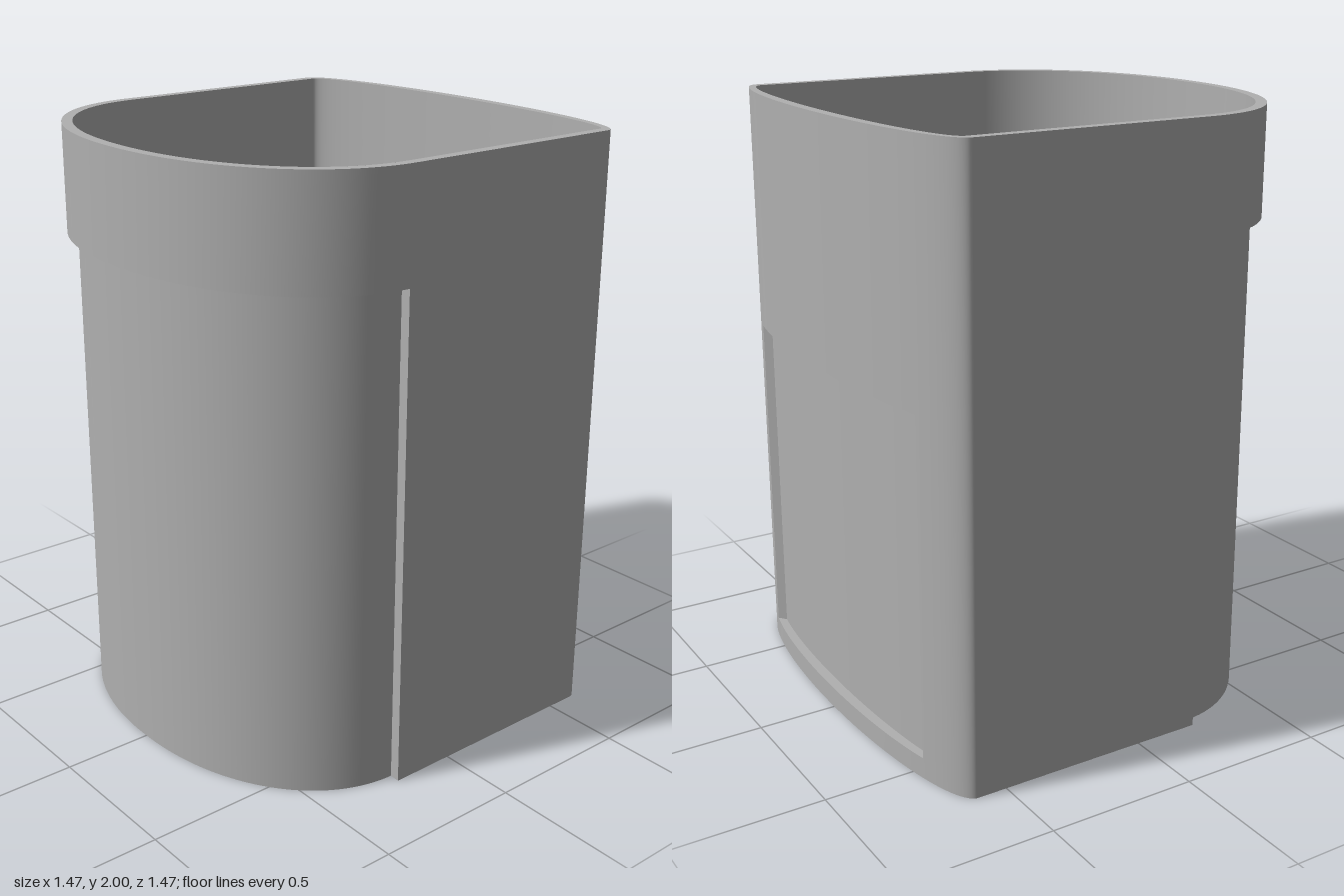
import * as THREE from 'three';
import { mergeGeometries } from 'three/addons/utils/BufferGeometryUtils.js';

// Plan outline, u = 0..4: front arc, right side, back arc, left side.
// t = 0 is the inner face of the wall, t = 1 the outer face.
const SIDE_FRONT = 0.2, SIDE_BACK = -0.6, WALL = 0.035;

function outline(u, t) {
  const half = 0.7 + WALL * t;
  u = ((u % 4) + 4) % 4;
  const section = Math.floor(u), f = u - section, angle = Math.PI * f;
  if (section === 0) {
    const c = Math.cos(angle), power = 2 / 2.12;
    return [
      -half * Math.sign(c) * Math.abs(c) ** power,
      SIDE_FRONT + (half - SIDE_FRONT) * Math.sin(angle) ** power,
    ];
  }
  if (section === 1) return [half, THREE.MathUtils.lerp(SIDE_FRONT, SIDE_BACK, f)];
  if (section === 2) return [half * Math.cos(angle), SIDE_BACK - (half + SIDE_BACK) * Math.sin(angle)];
  return [-half, THREE.MathUtils.lerp(SIDE_BACK, SIDE_FRONT, f)];
}

// Ribbon of quads between two edges that are functions of s = 0..1
function strip(lower, upper, segments) {
  const positions = [], index = [];
  for (let i = 0; i <= segments; i++) {
    positions.push(...lower(i / segments), ...upper(i / segments));
    if (i < segments) {
      const k = i * 2;
      index.push(k, k + 2, k + 3, k, k + 3, k + 1);
    }
  }
  const geometry = new THREE.BufferGeometry();
  geometry.setAttribute('position', new THREE.Float32BufferAttribute(positions, 3));
  geometry.setIndex(index);
  geometry.computeVertexNormals();
  return geometry;
}

// Raised wall panel over the liner: outer face, top and bottom rims, two ends
function panelGeometry(u0, u1, y0, y1) {
  const segments = Math.ceil((u1 - u0) * 64);
  const edge = (t, y) => (s) => {
    const [x, z] = outline(u0 + (u1 - u0) * s, t);
    return [x, y, z];
  };
  const end = (u, tA, tB) => {
    const side = (y) => (s) => {
      const [x, z] = outline(u, tA + (tB - tA) * s);
      return [x, y, z];
    };
    return strip(side(y0), side(y1), 1);
  };
  return mergeGeometries([
    strip(edge(1, y0), edge(1, y1), segments),
    strip(edge(1, y1), edge(0, y1), segments),
    strip(edge(0, y0), edge(1, y0), segments),
    end(u0, 0, 1),
    end(u1, 1, 0),
  ]);
}

export function createModel() {
  const group = new THREE.Group();
  group.name = 'openSleeve';
  const grey = new THREE.MeshStandardMaterial({ color: 0xb0b0b0, side: THREE.DoubleSide });
  grey.name = 'plain grey';

  const add = (name, geometry) => {
    const mesh = new THREE.Mesh(geometry, grey);
    mesh.name = name;
    group.add(mesh);
  };

  // Thin liner, open at both ends; it forms the front face and the pocket floor
  const linerEdge = (y) => (s) => {
    const [x, z] = outline(s * 4, 0);
    return [x, y, z];
  };
  add('liner', strip(linerEdge(0), linerEdge(2), 256));

  // Raised outer wall: leaves the lower front and a back pocket recessed
  const cut = 0.01, pocketLeft = 2.203, pocketRight = 2.769;
  add('frontCollar', panelGeometry(cut, 1 - cut, 1.64, 2));
  add('leftWall', panelGeometry(1 - cut, pocketLeft, 0, 2));
  add('rightWall', panelGeometry(pocketRight, 4 + cut, 0, 2));
  add('backWallAbovePocket', panelGeometry(pocketLeft, pocketRight, 1.19, 2));
  add('backSillBelowPocket', panelGeometry(pocketLeft, pocketRight, 0, 0.07));
  return group;
}
